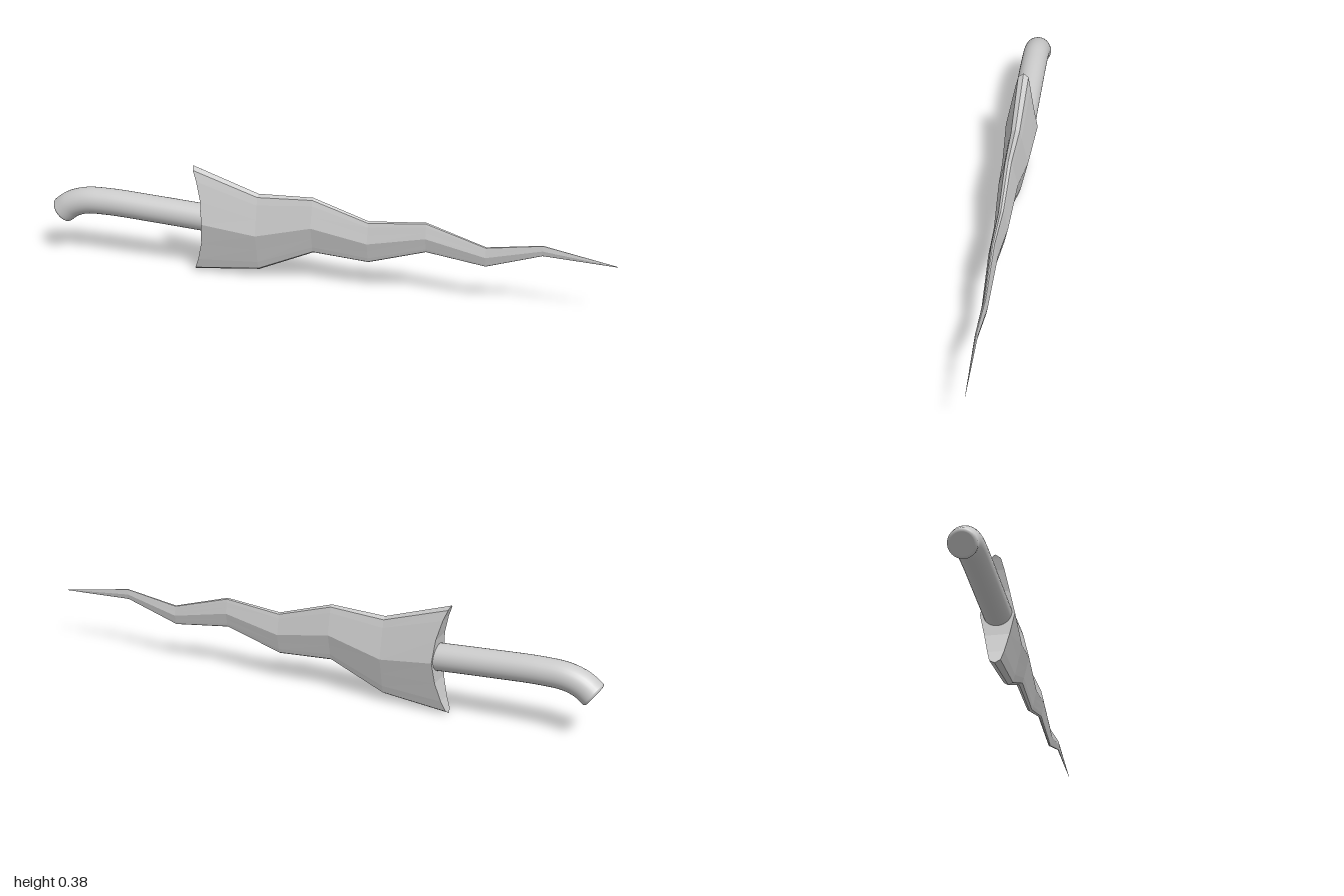
import * as THREE from 'three';

const material = new THREE.MeshStandardMaterial({ color: 0xcccccc });
const flatMaterial = new THREE.MeshStandardMaterial({ color: 0xcccccc, flatShading: true });

// Wavy blade stations: x, top y, bottom y, half thickness
const stations = [
  [-0.425, 0.387, 0.002, 0.057],
  [-0.235, 0.31, 0.03, 0.045],
  [-0.04, 0.319, 0.118, 0.033],
  [0.155, 0.257, 0.107, 0.024],
  [0.355, 0.277, 0.17, 0.016],
  [0.56, 0.214, 0.144, 0.01],
  [0.75, 0.244, 0.207, 0.005],
  [1, 0.201, 0.199, 0.0005],
];

// One side of the section from top to bottom: height fraction, thickness fraction
const half = [[1, 0], [0.94, 0.32], [0.75, 0.48], [0.4, 0.72], [0, 1]];
const side = [...half, ...half.slice(0, 4).reverse().map(([t, w]) => [-t, w])];
// Full loop: down the +z side, up the -z side
const loop = [...side, ...side.slice(1, -1).reverse().map(([t, w]) => [t, -w])];

function createBlade() {
  const positions = [], index = [];
  const n = loop.length;
  stations.forEach(([x, top, bottom, thick], s) => {
    for (const [t, w] of loop) {
      // the base edge sweeps back towards its two corners
      const sweep = s === 0 ? -0.045 * t * t : 0;
      positions.push(x + sweep, (top + bottom) / 2 + t * (top - bottom) / 2, w * thick);
    }
  });
  for (let s = 0; s < stations.length - 1; s++) {
    for (let i = 0; i < n; i++) {
      const a = s * n + i, b = s * n + (i + 1) % n;
      index.push(a, b, a + n, b, b + n, a + n);
    }
  }
  // Concave base, in strips between matching points of both sides
  for (let i = 0; i < n / 2; i++) {
    const a = i, b = i + 1, c = n - i - 1, d = (n - i) % n;
    if (b !== c) index.push(a, c, b);
    if (a !== d) index.push(a, d, c);
  }
  // Tip
  const last = (stations.length - 1) * n;
  for (let i = 1; i < n - 1; i++) index.push(last, last + i, last + i + 1);

  const geometry = new THREE.BufferGeometry();
  geometry.setAttribute('position', new THREE.Float32BufferAttribute(positions, 3));
  geometry.setIndex(index);
  const flat = geometry.toNonIndexed();
  flat.computeVertexNormals();
  const blade = new THREE.Mesh(flat, flatMaterial);
  blade.name = 'blade';
  return blade;
}

function createHandle() {
  const handle = new THREE.Group();
  handle.name = 'handle';
  const radius = 0.047;
  const path = new THREE.CatmullRomCurve3([
    [-0.4, 0.197], [-0.6, 0.207], [-0.79, 0.214], [-0.874, 0.209], [-0.928, 0.19], [-0.962, 0.164],
  ].map(([x, y]) => new THREE.Vector3(x, y, 0)));

  const grip = new THREE.Mesh(new THREE.TubeGeometry(path, 40, radius, 28), material);
  grip.name = 'grip';

  // Slightly rounded flat end
  const profile = [[radius, 0], [0.0455, 0.004], [0.042, 0.007], [0.038, 0.008], [0.037, 0.008], [0, 0.008]];
  const end = new THREE.Mesh(
    new THREE.LatheGeometry(profile.map(([r, y]) => new THREE.Vector2(r, y)), 28), material);
  end.name = 'gripEnd';
  end.position.copy(path.getPoint(1));
  end.quaternion.setFromUnitVectors(new THREE.Vector3(0, 1, 0), path.getTangent(1));

  handle.add(grip, end);
  return handle;
}

export function createModel() {
  const model = new THREE.Group();
  model.name = 'wavyDagger';
  model.add(createBlade(), createHandle());
  return model;
}
